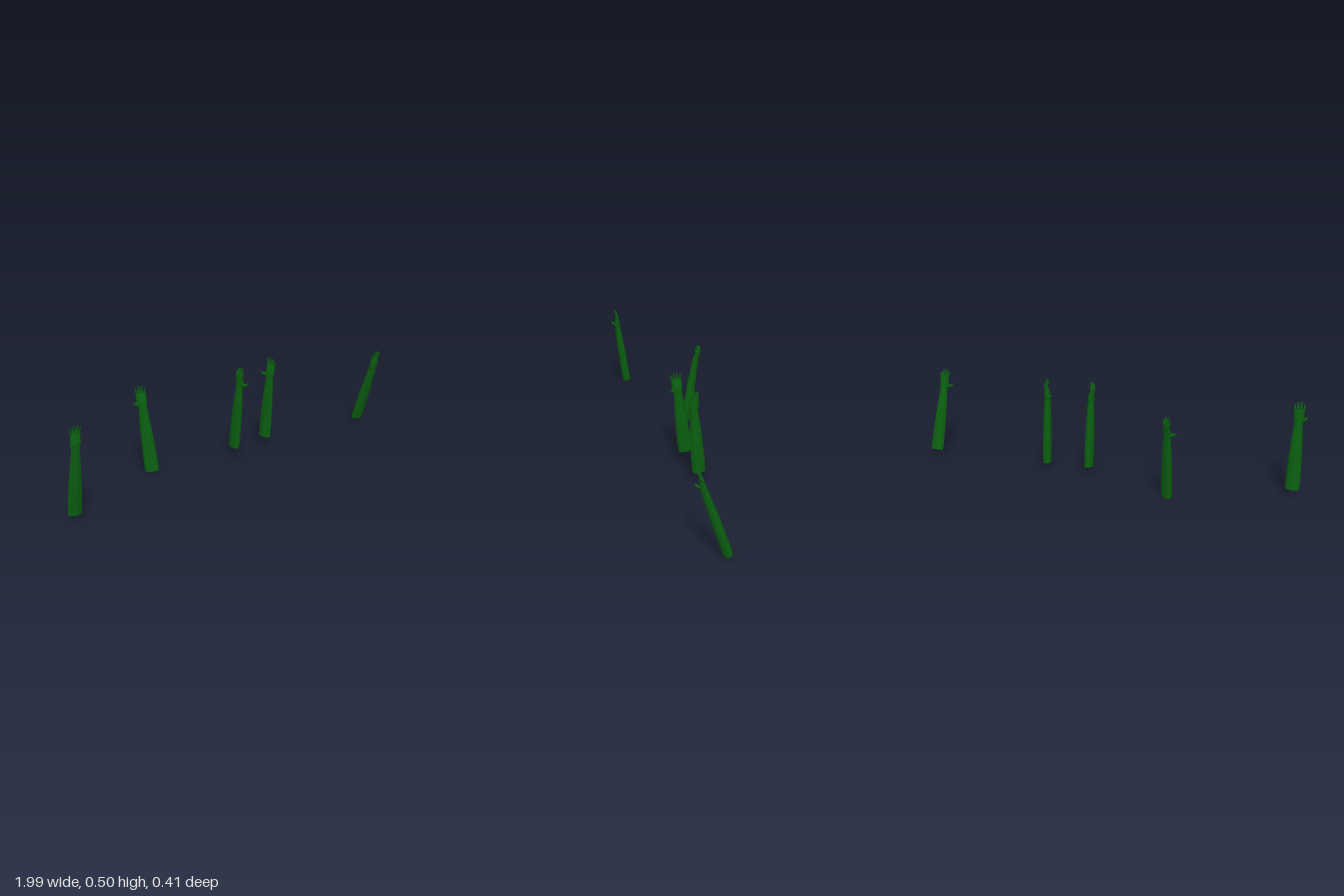
import * as THREE from 'three';

const material = new THREE.MeshStandardMaterial({ color: 0x0b5d10, flatShading: true });
const V = (x, y, z) => new THREE.Vector3(x, y, z);

// Closed loft through horizontal elliptical rings: [y, half width, half depth, z offset]
function loft(rings, sides) {
  const pos = [], idx = [];
  for (const [y, w, d, z] of rings)
    for (let i = 0; i < sides; i++) {
      const a = (i / sides) * Math.PI * 2;
      pos.push(w * Math.cos(a), y, z + d * Math.sin(a));
    }
  for (let r = 0; r < rings.length - 1; r++)
    for (let i = 0; i < sides; i++) {
      const a = r * sides + i, b = r * sides + (i + 1) % sides;
      idx.push(a, a + sides, b, b, a + sides, b + sides);
    }
  const top = (rings.length - 1) * sides;
  for (let i = 1; i < sides - 1; i++) {
    idx.push(0, i, i + 1);
    idx.push(top, top + i + 1, top + i);
  }
  const g = new THREE.BufferGeometry();
  g.setAttribute('position', new THREE.Float32BufferAttribute(pos, 3));
  g.setIndex(idx);
  g.computeVertexNormals();
  return g;
}

// Tapered bone between two points
function bone(name, a, b, r0, r1) {
  const dir = b.clone().sub(a);
  const mesh = new THREE.Mesh(new THREE.CylinderGeometry(r1, r0, dir.length(), 6), material);
  mesh.position.copy(a).add(b).multiplyScalar(0.5);
  mesh.quaternion.setFromUnitVectors(V(0, 1, 0), dir.normalize());
  mesh.name = name;
  return mesh;
}

// One raised arm along +y, palm towards +z, thumb on -x
function makeArm() {
  const arm = new THREE.Group();

  // Forearm, wrist and palm in one skin
  const forearm = new THREE.Mesh(loft([
    [0, 0.035, 0.0225, 0],
    [0.055, 0.036, 0.0225, 0],
    [0.17, 0.032, 0.022, 0],
    [0.24, 0.028, 0.020, 0],
    [0.31, 0.023, 0.017, 0],
    [0.335, 0.021, 0.016, 0],
    [0.36, 0.026, 0.015, 0],
    [0.38, 0.026, 0.012, -0.003],
    [0.402, 0.023, 0.007, -0.008],
  ], 8), material);
  forearm.name = 'forearmAndPalm';
  arm.add(forearm);

  // Fingers, fanned out and curling slightly forward: root x, tip x, tip y
  const fingers = [
    ['indexFinger', -0.018, -0.025, 0.429],
    ['middleFinger', -0.006, -0.009, 0.441],
    ['ringFinger', 0.006, 0.008, 0.438],
    ['littleFinger', 0.017, 0.023, 0.424],
  ];
  for (const [name, x0, x1, y] of fingers) {
    const root = V(x0, 0.39, -0.007), tip = V(x1, y, 0);
    const knuckle = V((x0 + x1) / 2, (0.39 + y) / 2, -0.007);
    const finger = new THREE.Group();
    finger.name = name;
    finger.add(bone('lowerJoint', root, knuckle, 0.0065, 0.006));
    finger.add(bone('upperJoint', knuckle, tip, 0.006, 0.0035));
    arm.add(finger);
  }

  // Thumb reaching out sideways and forward
  const thumb = new THREE.Group();
  thumb.name = 'thumb';
  const joint = V(-0.03, 0.352, 0.018);
  thumb.add(bone('lowerJoint', V(-0.015, 0.35, 0.003), joint, 0.011, 0.007));
  thumb.add(bone('upperJoint', joint, V(-0.038, 0.364, 0.025), 0.007, 0.004));
  arm.add(thumb);
  return arm;
}

export function createModel() {
  const model = new THREE.Group();
  model.name = 'raisedArms';

  // Base point, fingertip point, direction the palm faces (degrees about y)
  const arms = [
    [V(-0.957, 0.030, 0.126), V(-0.957, 0.467, 0.184), 0],
    [V(-0.385, 0.006, -0.123), V(-0.402, 0.445, -0.192), -38],
    [V(0.064, 0.062, -0.030), V(0.067, 0.500, 0.022), 90],
    [V(0.288, 0.062, -0.053), V(0.294, 0.500, -0.015), -78],
    [V(0.958, 0.030, -0.035), V(0.957, 0.450, 0.105), 0],
  ];
  arms.forEach(([base, tip, yaw], i) => {
    const arm = makeArm();
    arm.name = 'arm' + (i + 1);
    const a = THREE.MathUtils.degToRad(yaw);
    const up = tip.clone().sub(base).normalize();
    const side = up.clone().cross(V(Math.sin(a), 0, Math.cos(a))).normalize();
    const palm = side.clone().cross(up);
    arm.quaternion.setFromRotationMatrix(new THREE.Matrix4().makeBasis(side, up, palm));
    arm.position.copy(base);
    model.add(arm);
  });
  return model;
}
